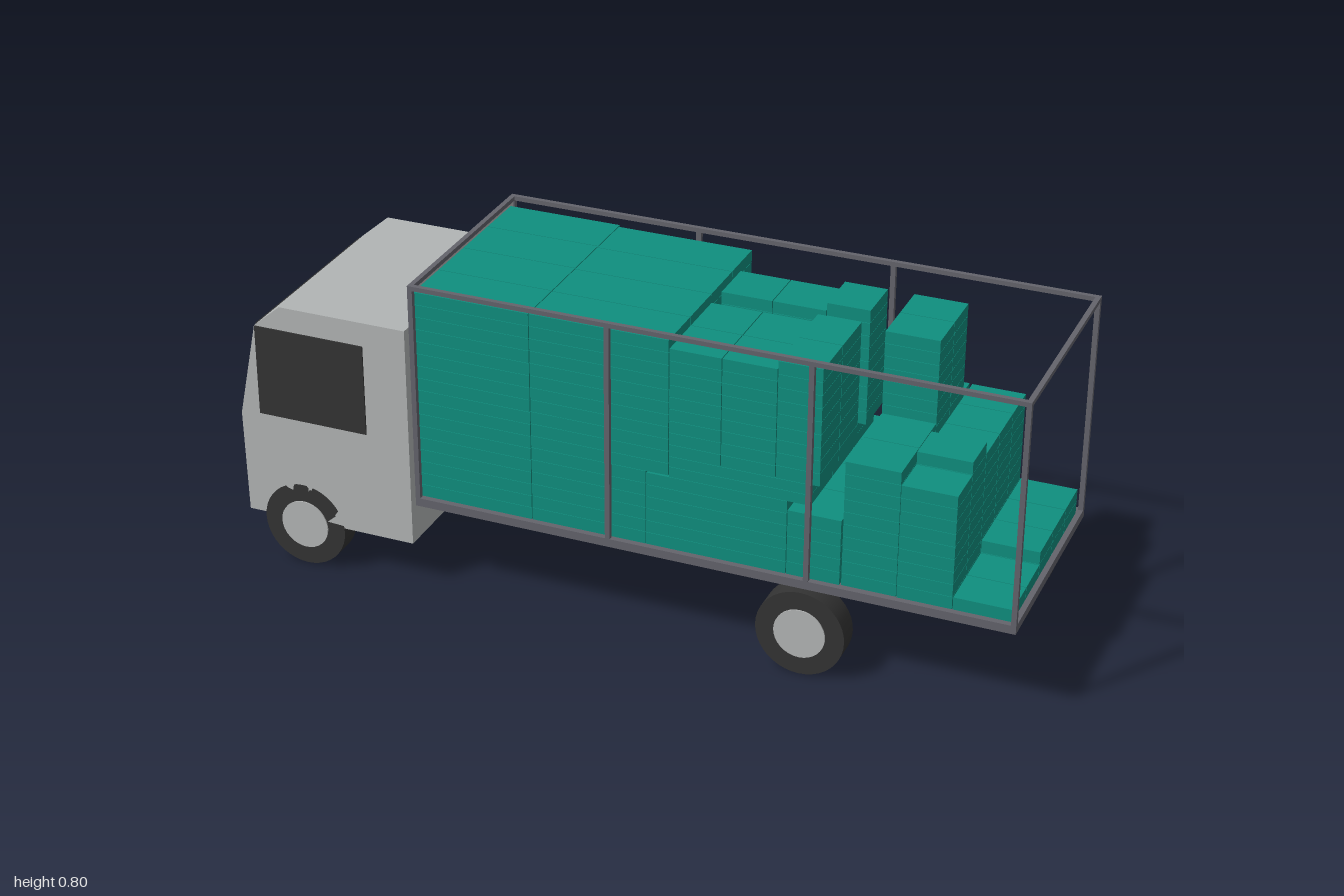
import * as THREE from 'three';

const mat = (name, color) => {
  const m = new THREE.MeshStandardMaterial({ color });
  m.name = name;
  return m;
};

export function createModel() {
  const model = new THREE.Group();
  model.name = 'cargoTruck';
  const paint = mat('cab grey', 0xb2b5b5);
  const dark = mat('black', 0x333333);
  const steel = mat('frame grey', 0x64646c);
  const teal = mat('cargo teal', 0x0f8f7f);
  const hubGrey = mat('hub grey', 0xb4b6b6);

  const add = (name, geo, material, parent = model) => {
    const mesh = new THREE.Mesh(geo, material);
    mesh.name = name;
    parent.add(mesh);
    return mesh;
  };
  // Box given by its limits on each axis
  const box = (name, x0, x1, y0, y1, z0, z1, material, parent) => {
    const mesh = add(name, new THREE.BoxGeometry(x1 - x0, y1 - y0, z1 - z0), material, parent);
    mesh.position.set((x0 + x1) / 2, (y0 + y1) / 2, (z0 + z1) / 2);
    return mesh;
  };

  // Cab: side profile extruded across the width
  const profile = [[-0.915, 0.118], [-0.475, 0.118], [-0.475, 0.68], [-0.8, 0.68], [-0.87, 0.62], [-0.92, 0.38]];
  const shape = new THREE.Shape(profile.map(([x, y]) => new THREE.Vector2(x, y)));
  const cab = add('cab', new THREE.ExtrudeGeometry(shape, { depth: 0.55, bevelEnabled: false }), paint);
  cab.position.z = -0.275;

  // Windows and bumper
  const windshield = add('windshield', new THREE.BoxGeometry(0.006, 0.242, 0.52), dark);
  windshield.position.set(-0.896, 0.5, 0);
  windshield.rotation.z = -Math.atan2(0.05, 0.24);
  for (const s of [-1, 1]) {
    const side = box('sideWindow', -0.868, -0.585, 0.39, 0.62, -0.003, 0.003, dark);
    side.position.z = s * 0.2755;
  }
  box('bumper', -0.921, -0.914, 0.13, 0.21, -0.255, 0.255, steel);

  // Chassis rails
  for (const z of [-0.087, 0.09]) box('chassisRail', -1, 0.98, 0.175, 0.232, z - 0.016, z + 0.016, dark);

  // Wheels with hub caps on the outer face
  for (const x of [-0.765, 0.5]) {
    for (const s of [-1, 1]) {
      const wheel = new THREE.Group();
      wheel.name = 'wheel';
      wheel.position.set(x, 0.107, s * 0.245);
      wheel.rotation.x = s * Math.PI / 2;
      add('tyre', new THREE.CylinderGeometry(0.107, 0.107, 0.06, 40), dark, wheel);
      add('hubCap', new THREE.CylinderGeometry(0.062, 0.062, 0.006, 32), hubGrey, wheel).position.y = 0.03;
      model.add(wheel);
    }
  }

  // Cargo bed, front wall and open frame
  const bed = new THREE.Group();
  bed.name = 'cargoBed';
  model.add(bed);
  box('floor', -0.46, 1, 0.229, 0.25, -0.28, 0.28, steel, bed);
  box('frontWall', -0.46, -0.453, 0.25, 0.79, -0.268, 0.268, paint, bed);
  for (const s of [-1, 1]) {
    const z0 = s > 0 ? 0.268 : -0.28;
    for (const x of [-0.454, 0.03, 0.512, 0.994]) {
      box('post', x - 0.006, x + 0.006, 0.25, 0.79, z0, z0 + 0.012, steel, bed);
    }
    box('topSideRail', -0.46, 1, 0.789, 0.8, z0, z0 + 0.012, steel, bed);
  }
  for (const x of [-0.454, 0.994]) box('topCrossRail', x - 0.006, x + 0.006, 0.789, 0.8, -0.268, 0.268, steel, bed);

  // Cargo: blocks of flat cartons, split into rows across z and layers up y
  const cargo = new THREE.Group();
  cargo.name = 'cargo';
  model.add(cargo);
  const gap = 0.001;
  const stack = (x0, x1, z0, z1, y0, y1, rows) => {
    const layers = Math.max(1, Math.round((y1 - y0) / 0.0315));
    const h = (y1 - y0) / layers;
    const w = (z1 - z0) / rows;
    for (let r = 0; r < rows; r++) {
      for (let i = 0; i < layers; i++) {
        box('carton', x0 + gap, x1 - gap, y0 + i * h + gap / 2, y0 + (i + 1) * h - gap / 2,
          z0 + r * w + gap, z0 + (r + 1) * w - gap, teal, cargo);
      }
    }
  };
  const base = 0.25;
  // Long cartons behind the front wall
  stack(-0.453, -0.165, -0.255, 0.267, base, 0.78, 4);
  stack(-0.165, 0.12, -0.25, 0.267, base, 0.44, 4);
  stack(-0.165, 0.175, -0.245, 0.267, 0.44, 0.78, 4);
  // Middle base with taller stacks on it
  stack(0.12, 0.46, -0.24, 0.267, base, 0.437, 4);
  stack(0.175, 0.515, -0.165, 0.267, 0.437, 0.49, 3);
  for (const [x0, x1, top] of [[0.175, 0.3, 0.76], [0.3, 0.43, 0.76], [0.43, 0.535, 0.78]]) {
    stack(x0, x1, -0.168, -0.045, 0.49, top, 1);
    stack(x0, x1, 0.015, 0.267, 0.49, top, 2);
  }
  stack(0.46, 0.588, -0.235, 0.267, base, 0.415, 4);
  // Tall pile near the rear
  stack(0.59, 0.72, 0.02, 0.265, base, 0.565, 2);
  stack(0.59, 0.72, -0.187, 0.02, base, 0.77, 2);
  stack(0.59, 0.72, -0.235, -0.187, base, 0.545, 1);
  // Rear rows stepping down
  stack(0.72, 0.85, -0.252, 0.267, base, 0.535, 5);
  stack(0.72, 0.85, 0.06, 0.163, 0.535, 0.566, 1);
  stack(0.85, 0.988, -0.252, 0.06, base, 0.314, 3);
  stack(0.85, 0.988, 0.06, 0.267, base, 0.282, 2);

  return model;
}
